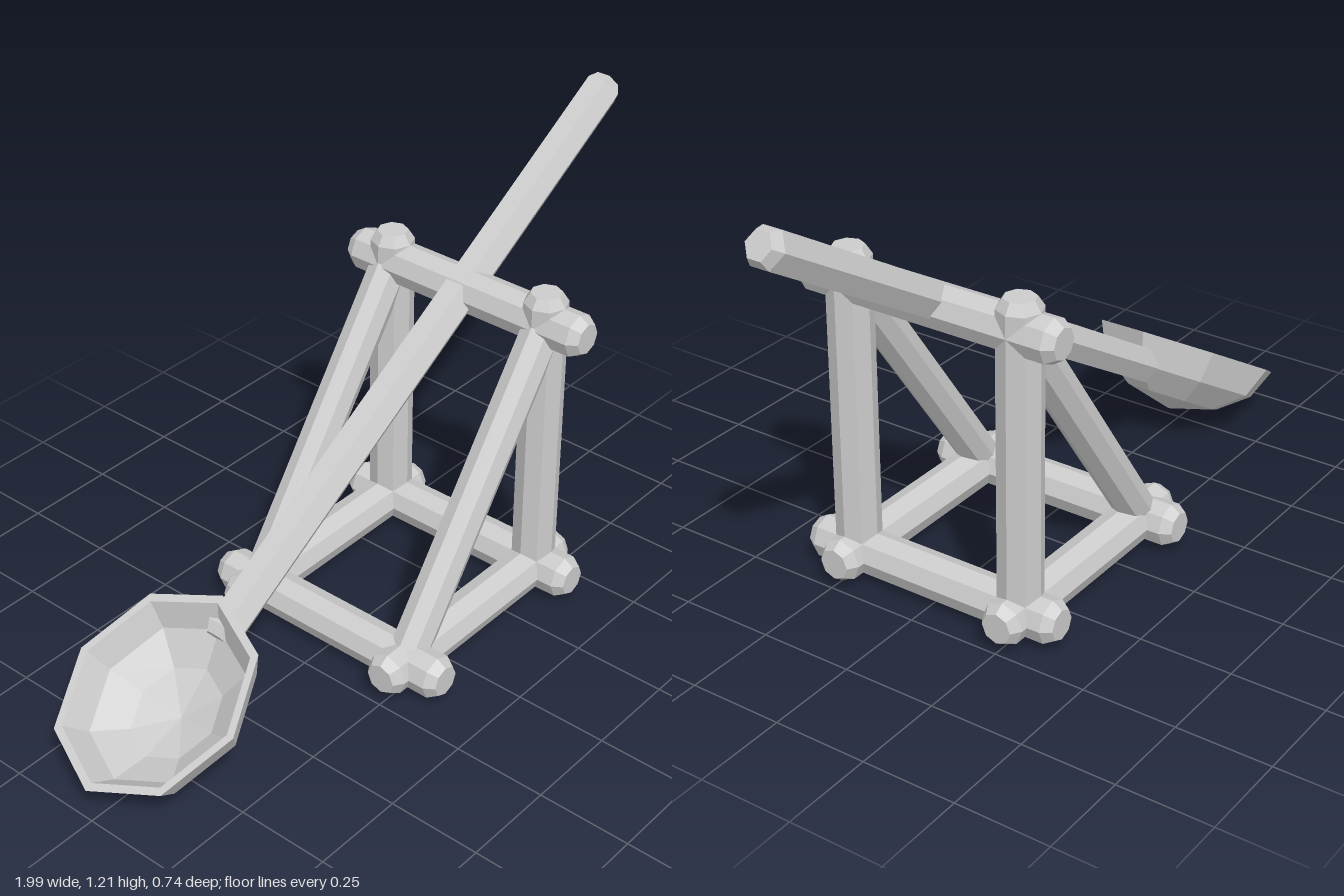
import * as THREE from 'three';

const material = new THREE.MeshStandardMaterial({ color: 0xcccccc, flatShading: true });
const UP = new THREE.Vector3(0, 1, 0);

// Faceted solid turned from [radius, height] points, listed bottom to top.
function turned(points, sides) {
  return new THREE.LatheGeometry(points.map(([r, y]) => new THREE.Vector2(r, y)), sides);
}

// Straight pole with chamfered ends, running from a to b.
function pole(name, a, b, radius, sides = 8) {
  const start = new THREE.Vector3(...a);
  const axis = new THREE.Vector3(...b).sub(start);
  const length = axis.length();
  const chamfer = 0.027;
  const end = radius * 0.7;
  const mesh = new THREE.Mesh(turned([
    [0, 0], [end, 0], [radius, chamfer],
    [radius, length - chamfer], [end, length], [0, length],
  ], sides), material);
  mesh.name = name;
  mesh.position.copy(start);
  mesh.quaternion.setFromUnitVectors(UP, axis.normalize());
  return mesh;
}

export function createModel() {
  const model = new THREE.Group();
  model.name = 'catapult';
  const r = 0.058;
  const postX = 0.395, rearX = -0.139, baseY = 0.073, topY = 0.818;

  // Two side frames: base beam, upright post and diagonal brace
  for (const [side, z] of [['front', 0.241], ['back', -0.251]]) {
    const frame = new THREE.Group();
    frame.name = side + 'SideFrame';
    frame.add(
      pole('baseBeam', [-0.237, baseY, z], [0.498, baseY, z], r),
      pole('post', [postX, 0.04, z], [postX, 0.903, z], r),
      pole('brace', [-0.173, 0.024, z], [0.41, 0.84, z], 0.052),
    );
    model.add(frame);
  }

  // Cross bars joining the side frames
  for (const [name, x, y] of [
    ['rearCrossBar', rearX, baseY],
    ['postCrossBar', postX, baseY],
    ['topCrossBar', postX, topY],
  ]) {
    model.add(pole(name, [x, y, -0.37], [x, y, 0.37], r));
  }

  // Six-sided throwing arm resting across the top bar
  model.add(pole('throwingArm', [-0.545, 0.259, -0.012], [0.98, 1.183, -0.012], 0.052, 6));

  // Faceted bowl at the low end of the arm: outer skin, rim, inner skin
  const bowl = new THREE.Mesh(turned([
    [0, -0.182], [0.13, -0.148], [0.215, -0.085], [0.252, 0],
    [0.232, 0], [0.195, -0.07], [0.115, -0.125], [0, -0.155],
  ], 8), material);
  bowl.name = 'bowl';
  bowl.scale.x = 1.11;
  bowl.rotation.z = 0.54;
  bowl.position.set(-0.757, 0.23, -0.016);
  model.add(bowl);

  return model;
}
